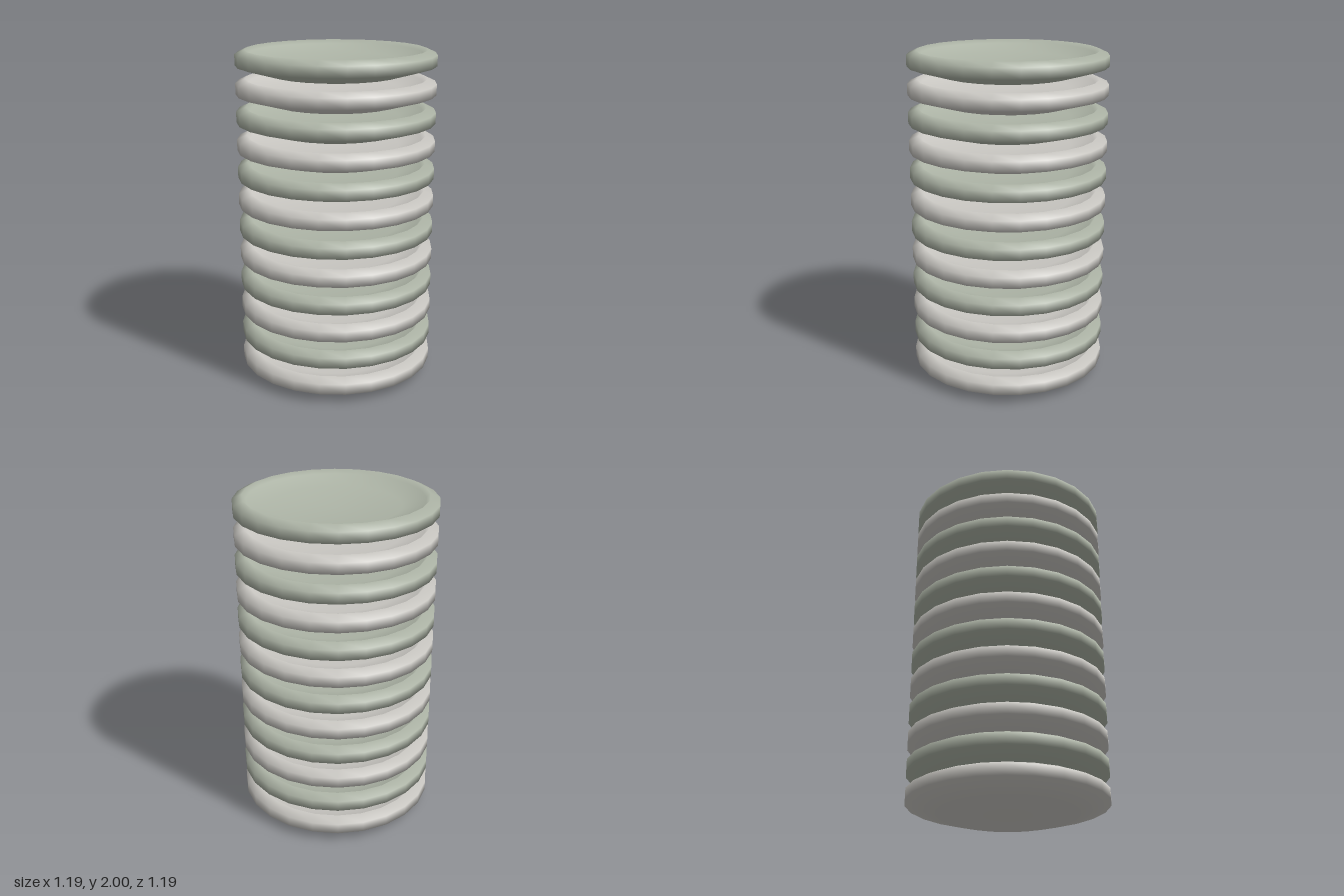
import * as THREE from 'three';
import { mergeVertices } from 'three/addons/utils/BufferGeometryUtils.js';

const COUNT = 12;
const HEIGHT = 0.148;
const PITCH = (2 - HEIGHT) / (COUNT - 1);

// Half section of one plate, from the underside centre round the rim to the dish centre
function plateGeometry() {
  const profile = [
    [0, 0], [0.39, 0],               // flat base
    [0.595, 0.058], [0.595, 0.122],  // flared underside and rim
    [0.538, HEIGHT],                 // crest
    [0.515, 0.125],                  // inner lip
    [0.38, 0.085], [0, 0.065],       // hollow dish
  ].map(([r, y]) => new THREE.Vector2(r, y));
  const lathe = new THREE.LatheGeometry(profile, 24);
  // Weld the seam and poles so the shading is smooth all round
  lathe.deleteAttribute('normal');
  lathe.deleteAttribute('uv');
  const geometry = mergeVertices(lathe, 1e-4);
  geometry.computeVertexNormals();
  return geometry;
}

export function createModel() {
  const group = new THREE.Group();
  group.name = 'plateStack';
  const geometry = plateGeometry();
  const warmGrey = new THREE.MeshStandardMaterial({ color: 0xcac8c3 });
  const sageGrey = new THREE.MeshStandardMaterial({ color: 0xaeb5a7 });

  // Evenly spaced plates in alternating colours
  for (let i = 0; i < COUNT; i++) {
    const plate = new THREE.Mesh(geometry, i % 2 ? sageGrey : warmGrey);
    plate.name = `plate${i + 1}`;
    plate.position.y = i * PITCH;
    group.add(plate);
  }
  return group;
}
